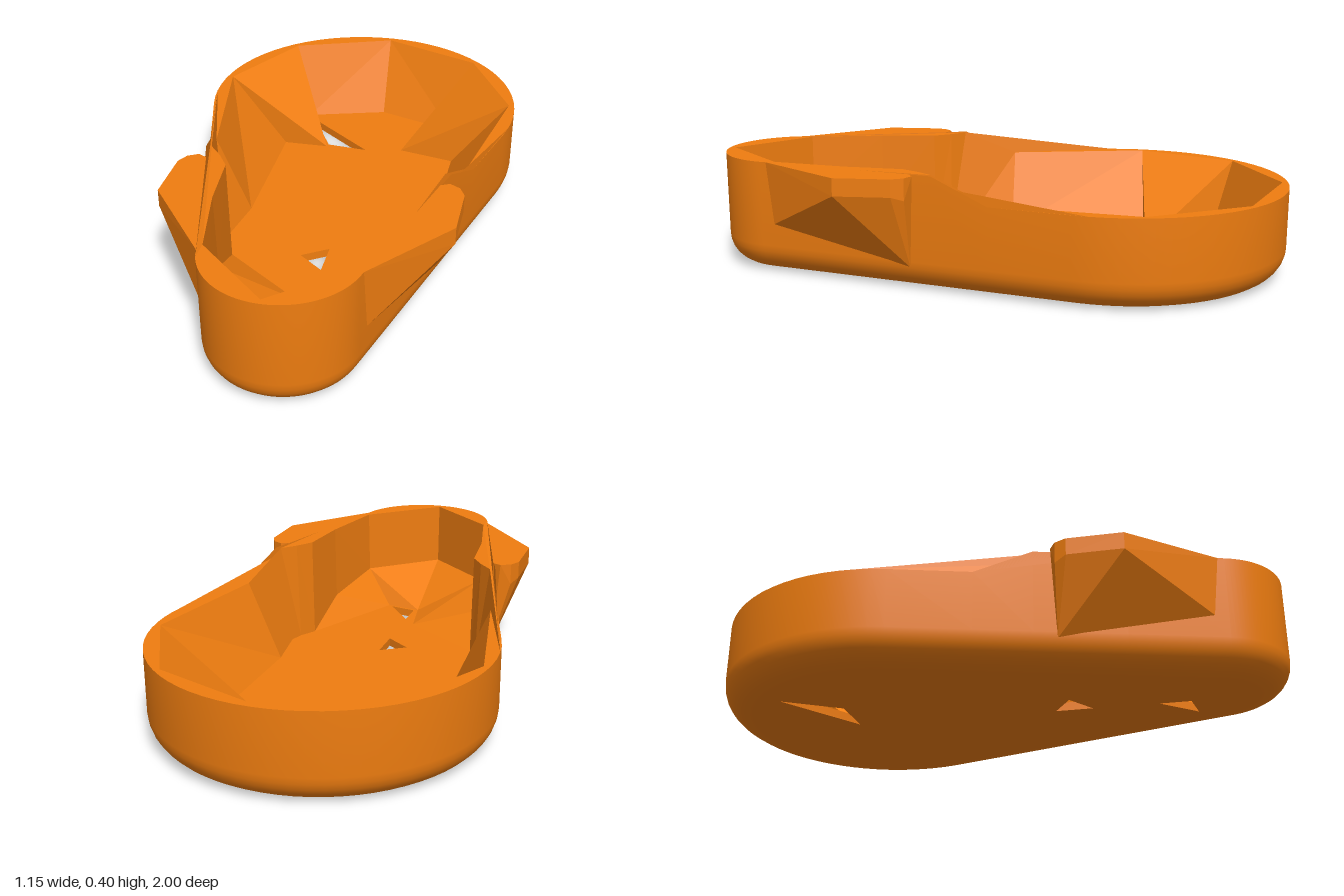
import * as THREE from 'three';
import { toCreasedNormals } from 'three/addons/utils/BufferGeometryUtils.js';
import { ConvexGeometry } from 'three/addons/geometries/ConvexGeometry.js';

const BACK = { z: -0.425, r: 0.575 }, FRONT = { z: 0.74, r: 0.26 };
const EDGE = 0.1, FLOOR = 0.03, LOW = 0.31, HIGH = 0.395;

// rim height: low at the back, a short ramp, high at the front
const rimY = (z) => LOW + (HIGH - LOW) * THREE.MathUtils.clamp(z / 0.19, 0, 1);

// plan outline: two circles joined by tangents, moved inwards by inset
function outline(inset) {
  const tilt = Math.asin((BACK.r - FRONT.r) / (FRONT.z - BACK.z));
  const half = [];
  const add = (t, a) => {
    const r = THREE.MathUtils.lerp(BACK.r, FRONT.r, t) - inset;
    half.push([r * Math.cos(a), THREE.MathUtils.lerp(BACK.z, FRONT.z, t) + r * Math.sin(a)]);
  };
  const n = 20, q = Math.PI / 2;
  for (let i = 0; i <= n; i++) add(0, -q + (tilt + q) * i / n);
  for (const t of [0.25, 0.426, 0.7]) add(t, tilt);
  for (let i = 0; i <= n; i++) add(1, tilt + (q - tilt) * i / n);
  return half.concat(half.slice(1, -1).reverse().map(([x, z]) => [-x, z]));
}

// triangles from a list of corner triples
function facets(tris) {
  const g = new THREE.BufferGeometry();
  g.setAttribute('position', new THREE.Float32BufferAttribute(tris.flat(2), 3));
  g.computeVertexNormals();
  return g;
}

// plan polygon with holes, facing up or down, height given by a rule
function plate(points, holes, up, height) {
  const s = up ? -1 : 1;
  const toV = ([x, z]) => new THREE.Vector2(x, s * z);
  const shape = new THREE.Shape(points.map(toV));
  holes.forEach((h) => shape.holes.push(new THREE.Path(h.map(toV))));
  const g = new THREE.ShapeGeometry(shape).rotateX(s * Math.PI / 2);
  const p = g.attributes.position;
  for (let i = 0; i < p.count; i++) p.setY(i, height(p.getZ(i)));
  g.computeVertexNormals();
  return g;
}

// outer wall with a rounded lower edge
function outerWall() {
  const rows = [], steps = 7;
  for (let k = 0; k <= steps; k++) {
    const a = (k / steps) * Math.PI / 2;
    const y = EDGE * (1 - Math.cos(a));
    rows.push(outline(EDGE * (1 - Math.sin(a))).map(([x, z]) => [x, y, z]));
  }
  rows.push(outline(0).map(([x, z]) => [x, rimY(z), z]));
  const tris = [];
  for (let k = 0; k < rows.length - 1; k++) {
    const lo = rows[k], hi = rows[k + 1], n = lo.length;
    for (let i = 0; i < n; i++) {
      const j = (i + 1) % n;
      tris.push([lo[i], hi[i], hi[j]], [lo[i], hi[j], lo[j]]);
    }
  }
  return toCreasedNormals(facets(tris), 0.6);
}

// inner rim corners (x, z), back to front
const RIM = [[0, -0.98], [0.37, -0.84], [0.55, -0.5], [0.455, 0], [0.405, 0.19],
  [0.36, 0.24], [0.32, 0.3], [0.3, 0.5], [0.245, 0.76], [0, 0.98]];
// foot of the inner wall (x, y, z)
const FOOT = [[0, FLOOR, -0.855], [0.3, FLOOR, -0.76], [0.34, FLOOR, -0.51], [0.335, FLOOR, 0],
  [0.365, FLOOR, 0.19], [0.35, FLOOR, 0.24], [0.315, FLOOR, 0.3], [0.295, 0.12, 0.5],
  [0.24, 0.16, 0.76], [0, 0.16, 0.975]];
// where the sloping facets meet the floor, which differs between the sides
const SIDES = [
  { s: 1, back: [0.13, FLOOR, -0.55], front: [0.13, FLOOR, 0.69] },
  { s: -1, back: [-0.17, FLOOR, -0.515], front: [-0.03, FLOOR, 0.5] },
];
const NOSE = [0, FLOOR, 0.67];
const HOLES = [
  [[-0.27, -0.725], [-0.165, -0.53], [-0.01, -0.52]],
  [[-0.08, 0.25], [0.01, 0.19], [0.01, 0.32]],
  [[0.015, 0.55], [0.115, 0.68], [0.015, 0.66]],
];

// faceted cavity walls of one side
function cavityWall({ s, back, front }) {
  const T = RIM.map(([x, z]) => [s * x, rimY(z), z]);
  const L = FOOT.map(([x, y, z]) => [s * x, y, z]);
  const tris = [];
  for (let i = 0; i < 9; i++) {
    if (i !== 1) tris.push([T[i], L[i + 1], T[i + 1]], [T[i], L[i], L[i + 1]]);
  }
  tris.push([T[1], back, T[2]], [T[2], back, L[2]], [T[1], L[1], back]);
  tris.push([L[6], front, L[7]], [L[7], front, L[8]], [L[8], front, NOSE], [L[8], NOSE, L[9]]);
  return facets(s > 0 ? tris : tris.map(([a, b, c]) => [a, c, b]));
}

// floor outline of one side, back to front
const floorHalf = ({ s, back, front }) => {
  const L = FOOT.map(([x, , z]) => [s * x, z]);
  return [L[1], [back[0], back[2]], ...L.slice(2, 7), [front[0], front[2]]];
};

// side shoulder with a slanting underside
function shoulder(s) {
  const pts = [
    [0.4, HIGH, 0.265], [0.43, HIGH, 0.25], [0.465, HIGH, 0.27], [0.485, HIGH, 0.31],
    [0.485, HIGH, 0.5], [0.255, HIGH, 0.79], [0.485, 0.335, 0.31], [0.465, 0.32, 0.27],
    [0.485, 0.335, 0.5], [0.25, 0.17, 0.78], [0.4, 0.08, 0.265],
  ];
  return new ConvexGeometry(pts.map(([x, y, z]) => new THREE.Vector3(s * x, y, z)));
}

export function createModel() {
  const model = new THREE.Group();
  model.name = 'tray';
  const smooth = new THREE.MeshStandardMaterial({ color: 0xef7d10, side: THREE.DoubleSide });
  const flat = smooth.clone();
  flat.flatShading = true;
  const add = (name, geometry, material = flat) => {
    const mesh = new THREE.Mesh(geometry, material);
    mesh.name = name;
    model.add(mesh);
  };

  add('outerWall', outerWall(), smooth);
  add('underside', plate(outline(EDGE), HOLES, false, () => 0));

  const innerRim = RIM.concat(RIM.slice(1, -1).reverse().map(([x, z]) => [-x, z]));
  add('rim', plate(outline(0), [innerRim], true, rimY));

  const floor = [[0, FOOT[0][2]], ...floorHalf(SIDES[0]), [0, NOSE[2]], ...floorHalf(SIDES[1]).reverse()];
  add('floor', plate(floor, HOLES, true, () => FLOOR));

  for (const side of SIDES) {
    const label = side.s > 0 ? 'left' : 'right';
    add(label + 'CavityWall', cavityWall(side));
    add(label + 'Shoulder', shoulder(side.s));
  }

  // short walls through the floor openings
  HOLES.forEach((h, k) => {
    const tris = h.flatMap(([x, z], i) => {
      const [u, w] = h[(i + 1) % 3];
      return [[[x, 0, z], [u, 0, w], [u, FLOOR, w]], [[x, 0, z], [u, FLOOR, w], [x, FLOOR, z]]];
    });
    add('floorOpening' + (k + 1), facets(tris));
  });
  return model;
}
